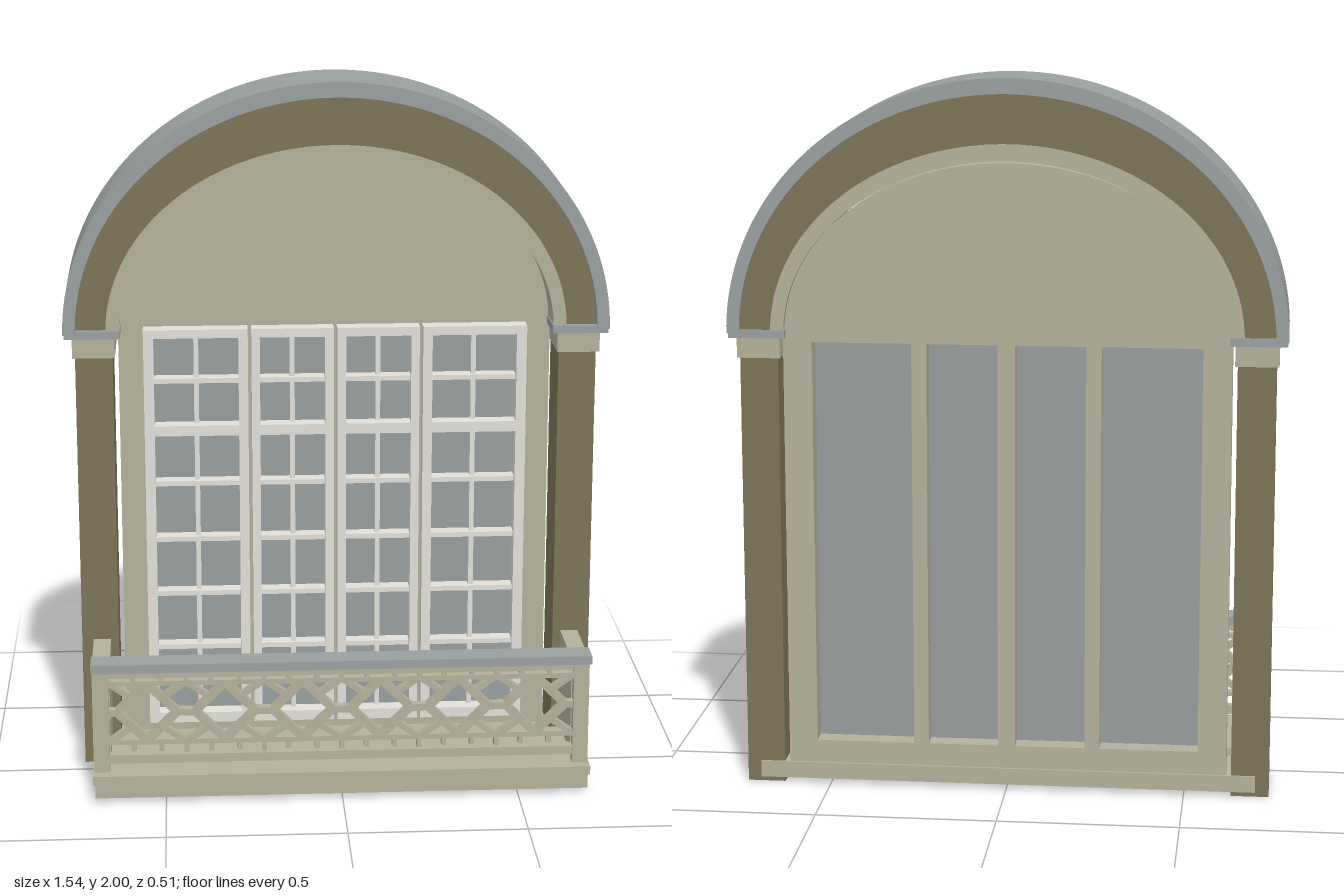
import * as THREE from 'three';

const mat = (name, color) => {
  const m = new THREE.MeshStandardMaterial({ color });
  m.name = name;
  return m;
};

export function createModel() {
  const stone = mat('beige stone', 0xb5b09b);
  const brown = mat('brown stone', 0x7d7358);
  const slate = mat('grey trim', 0x9aa0a0);
  const white = mat('white paint', 0xe0dfd8);
  const glass = mat('window glass', 0x989d9d);
  const model = new THREE.Group();
  model.name = 'archedWindowWithBalcony';

  const add = (geo, material, name, parent = model) => {
    const mesh = new THREE.Mesh(geo, material);
    mesh.name = name;
    parent.add(mesh);
    return mesh;
  };
  // Box given by its limits
  const box = (name, material, x0, x1, y0, y1, z0, z1, parent) => {
    const m = add(new THREE.BoxGeometry(x1 - x0, y1 - y0, z1 - z0), material, name, parent);
    m.position.set((x0 + x1) / 2, (y0 + y1) / 2, (z0 + z1) / 2);
    return m;
  };
  const slab = (name, material, shape, z0, z1, parent) => {
    const geo = new THREE.ExtrudeGeometry(shape, { depth: z1 - z0, bevelEnabled: false, curveSegments: 48 });
    geo.translate(0, 0, z0);
    return add(geo, material, name, parent);
  };
  const rect = (Type, x0, x1, y0, y1) => {
    const p = new Type();
    p.moveTo(x0, y0);
    p.lineTo(x1, y0);
    p.lineTo(x1, y1);
    p.lineTo(x0, y1);
    p.closePath();
    return p;
  };
  const SPRING = 1.295;
  // Half ring between two ellipses, standing on the springing line
  const archRing = (name, material, rx, ry, ix, iy, z0, z1) => {
    const s = new THREE.Shape();
    s.moveTo(rx, SPRING);
    s.absellipse(0, SPRING, rx, ry, 0, Math.PI, false, 0);
    s.lineTo(-ix, SPRING);
    s.absellipse(0, SPRING, ix, iy, Math.PI, 0, true, 0);
    s.closePath();
    slab(name, material, s, z0, z1);
  };

  // Arch
  archRing('archCornice', slate, 0.77, 0.705, 0.735, 0.662, -0.257, -0.012);
  archRing('archBand', brown, 0.736, 0.663, 0.648, 0.525, -0.244, -0.035);
  archRing('archInnerRim', stone, 0.65, 0.527, 0.613, 0.481, -0.247, -0.032);

  // Pillars and capitals
  for (const s of [-1, 1]) {
    const side = new THREE.Group();
    side.name = s > 0 ? 'leftPillar' : 'rightPillar';
    model.add(side);
    const b = (name, m, a, c, ...r) => box(name, m, Math.min(s * a, s * c), Math.max(s * a, s * c), ...r, side);
    b('pillarShaft', brown, 0.632, 0.738, 0, 1.225, -0.23, -0.055);
    b('capital', stone, 0.625, 0.745, 1.225, 1.282, -0.24, -0.03);
    b('capitalSlab', slate, 0.61, 0.767, 1.282, 1.305, -0.25, -0.018);
  }

  // Casements: outer edges, pane edges, and edges of the wall opening in x
  const casements = [
    [-0.547, -0.25, -0.518, -0.277, -0.538, -0.262],
    [-0.24, -0.005, -0.216, -0.03, -0.22, -0.024],
    [0.005, 0.24, 0.03, 0.216, 0.024, 0.22],
    [0.25, 0.547, 0.277, 0.518, 0.262, 0.538],
  ];

  // Wall with round head and four window openings
  const wall = new THREE.Shape();
  wall.moveTo(-0.618, 0.06);
  wall.lineTo(0.618, 0.06);
  wall.lineTo(0.618, SPRING);
  wall.absellipse(0, SPRING, 0.618, 0.474, 0, Math.PI, false, 0);
  wall.closePath();
  for (const c of casements) wall.holes.push(rect(THREE.Path, c[4], c[5], 0.125, 1.27));
  slab('wall', stone, wall, -0.228, -0.15);

  for (const [x0, x1, a, b, w0, w1] of casements) {
    const g = new THREE.Group();
    g.name = 'casement';
    model.add(g);
    const frame = rect(THREE.Shape, x0, x1, 0.1, 1.287);
    frame.holes.push(rect(THREE.Path, a, b, 0.13, 0.975), rect(THREE.Path, a, b, 1.005, 1.262));
    slab('casementFrame', white, frame, -0.15, -0.1, g);
    box('glassPane', glass, w0, w1, 0.125, 1.27, -0.172, -0.164, g);
    const mid = (a + b) / 2;
    box('verticalMuntin', white, mid - 0.007, mid + 0.007, 0.13, 1.262, -0.163, -0.133, g);
    for (const y of [0.33, 0.495, 0.66, 0.828, 1.133])
      box('horizontalMuntin', white, a, b, y - 0.007, y + 0.007, -0.163, -0.118, g);
  }

  // Balcony floor
  const balcony = new THREE.Group();
  balcony.name = 'balcony';
  model.add(balcony);
  box('sill', stone, -0.7, 0.7, 0.013, 0.06, -0.235, 0.25, balcony);
  box('floor', stone, -0.706, 0.706, 0.055, 0.08, -0.055, 0.255, balcony);

  // Parapet: side panels, corner posts, rails
  for (const s of [-0.68, 0.68]) {
    box('sidePanel', stone, s - 0.025, s + 0.025, 0.1, 0.381, -0.057, 0.19, balcony);
    box('cornerPost', stone, s - 0.022, s + 0.022, 0.08, 0.383, 0.185, 0.222, balcony);
  }
  box('handrail', slate, -0.706, 0.706, 0.383, 0.408, 0.165, 0.242, balcony);
  box('topRail', stone, -0.66, 0.66, 0.36, 0.383, 0.188, 0.22, balcony);
  box('bottomRail', stone, -0.66, 0.66, 0.105, 0.13, 0.188, 0.22, balcony);

  // Lattice: a diamond in each bay, tied to its neighbours by crossing bars
  const bar = (x0, y0, x1, y1, w) => {
    const m = add(new THREE.BoxGeometry(Math.hypot(x1 - x0, y1 - y0), w, 0.026), stone, 'latticeBar', balcony);
    m.position.set((x0 + x1) / 2, (y0 + y1) / 2, 0.204);
    m.rotation.z = Math.atan2(y1 - y0, x1 - x0);
  };
  const CY = 0.255, STEP = 0.22, HALF = 0.085;
  for (let i = 0; i < 6; i++) {
    const x = (i - 2.5) * STEP;
    for (const k of [-1, 1]) {
      bar(x + k * HALF, CY, x + k * STEP / 2, CY, 0.02);
      for (const j of [-1, 1]) {
        bar(x + k * HALF, CY, x, CY + j * HALF, 0.022);
        bar(x + k * HALF / 2, CY + j * HALF / 2, x + k * STEP / 2, CY + j * 0.09, 0.016);
        bar(x + k * 0.04, CY + j * 0.085, x + k * 0.04, CY + j * 0.115, 0.014);
      }
    }
  }
  for (const j of [-1, 1]) {
    bar(-0.66, CY + j * 0.088, 0.66, CY + j * 0.088, 0.014);
    for (let i = 1; i < 6; i++)
      bar((i - 3) * STEP, CY + j * 0.08, (i - 3) * STEP, CY + j * 0.12, 0.014);
  }
  return model;
}
